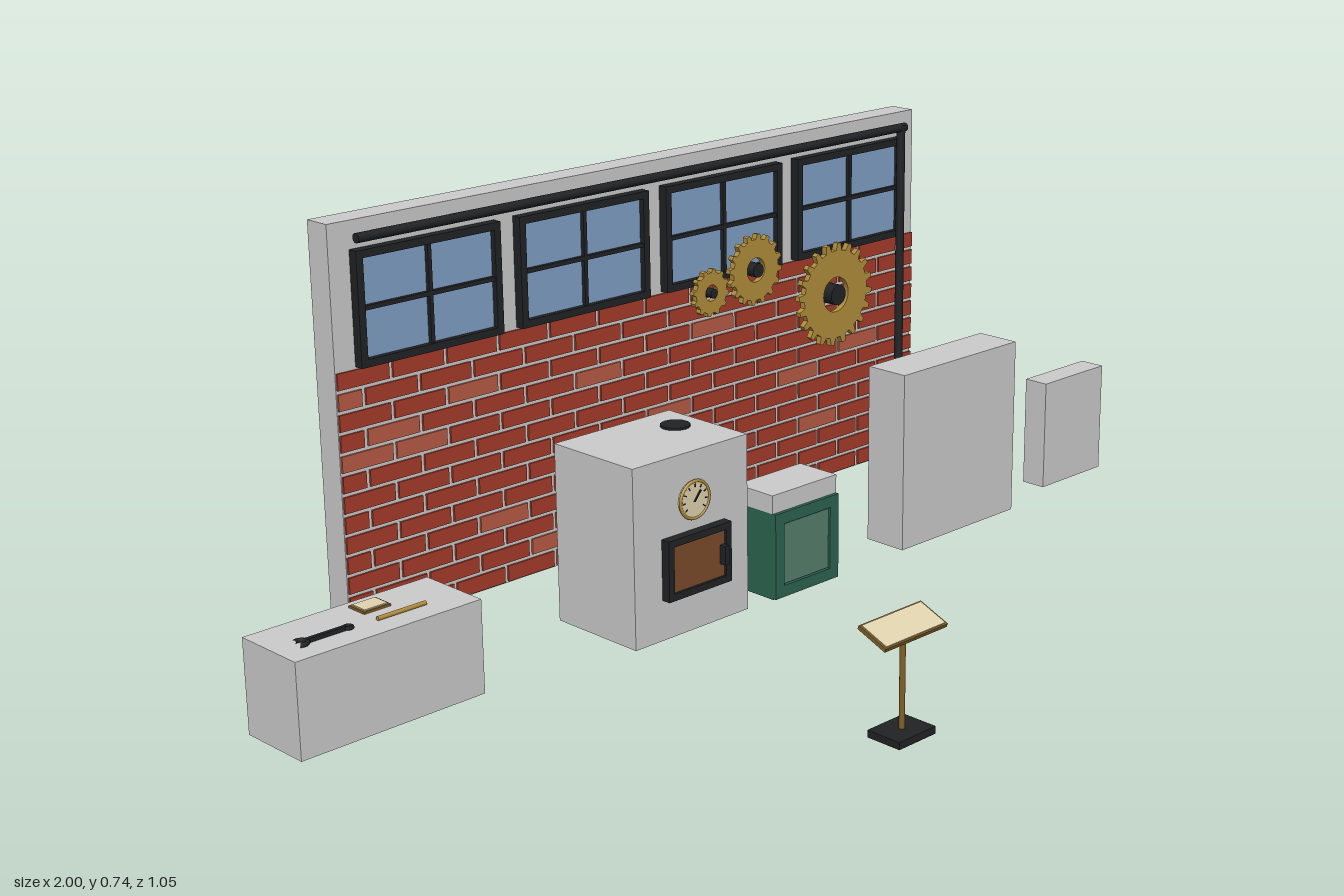
import * as THREE from 'three';
import { mergeGeometries } from 'three/addons/utils/BufferGeometryUtils.js';

const mat = (color) => new THREE.MeshStandardMaterial({ color });
const M = {
  grey: mat(0xcccccc), brick: mat(0xa63c2b), paleBrick: mat(0xb95a43), iron: mat(0x202224),
  glass: mat(0x7f9fc6), brass: mat(0xb08d3c), bronze: mat(0x806028), cream: mat(0xe0d3ae),
  ember: mat(0x7a4a2a), green: mat(0x2c6450), paleGreen: mat(0x55806c),
};

// Box geometry given by its limits on each axis
function boxGeo(x0, x1, y0, y1, z0, z1) {
  return new THREE.BoxGeometry(x1 - x0, y1 - y0, z1 - z0)
    .translate((x0 + x1) / 2, (y0 + y1) / 2, (z0 + z1) / 2);
}

function add(parent, name, geo, material) {
  const mesh = new THREE.Mesh(geo, material);
  mesh.name = name;
  parent.add(mesh);
  return mesh;
}

function part(parent, name) {
  const g = new THREE.Group();
  g.name = name;
  parent.add(g);
  return g;
}

// Rectangular frame made of four bars
function frameGeo(x0, x1, y0, y1, z0, z1, t) {
  return mergeGeometries([
    boxGeo(x0, x1, y0, y0 + t, z0, z1), boxGeo(x0, x1, y1 - t, y1, z0, z1),
    boxGeo(x0, x0 + t, y0 + t, y1 - t, z0, z1), boxGeo(x1 - t, x1, y0 + t, y1 - t, z0, z1),
  ]);
}

// Toothed disc with a round bore
function gearGeo(r, teeth, bore, depth) {
  const shape = new THREE.Shape();
  const root = r * 0.86, step = (Math.PI * 2) / teeth;
  for (let i = 0; i < teeth; i++) {
    [[0, root], [0.45, root], [0.58, r], [0.87, r]].forEach(([f, rad], k) => {
      const a = (i + f) * step;
      const x = Math.cos(a) * rad, y = Math.sin(a) * rad;
      if (i + k === 0) shape.moveTo(x, y); else shape.lineTo(x, y);
    });
  }
  shape.closePath();
  const hole = new THREE.Path();
  hole.absarc(0, 0, bore, 0, Math.PI * 2, true);
  shape.holes.push(hole);
  return new THREE.ExtrudeGeometry(shape, { depth, bevelEnabled: false, curveSegments: 16 });
}

function buildWall(root) {
  const wall = part(root, 'wall');
  add(wall, 'wallPanel', boxGeo(-0.645, 0.815, 0, 0.735, -0.527, -0.473), M.grey);

  // Running-bond bricks, a few of them paler
  const rows = 13, pitch = 0.48 / rows, length = 0.118, gap = 0.008;
  const plain = [], pale = [];
  let seed = 7;
  const random = () => (seed = (seed * 16807) % 2147483647) / 2147483647;
  for (let r = 0; r < rows; r++) {
    for (let x = -0.645 - (r % 2) * length / 2; x < 0.815; x += length) {
      const a = Math.max(x, -0.643), b = Math.min(x + length - gap, 0.815);
      if (b - a < 0.01) continue;
      const brick = boxGeo(a, b, r * pitch + 0.003, (r + 1) * pitch - 0.004, -0.474, -0.469);
      (random() < 0.08 ? pale : plain).push(brick);
    }
  }
  add(wall, 'bricks', mergeGeometries(plain), M.brick);
  add(wall, 'paleBricks', mergeGeometries(pale), M.paleBrick);

  // Four windows, each with a cross of glazing bars
  for (let i = 0; i < 4; i++) {
    const w = part(wall, 'window');
    const x0 = -0.602 + i * 0.353, x1 = x0 + 0.31, cx = (x0 + x1) / 2;
    add(w, 'glass', boxGeo(x0 + 0.01, x1 - 0.01, 0.49, 0.675, -0.474, -0.465), M.glass);
    add(w, 'windowFrame', frameGeo(x0, x1, 0.48, 0.685, -0.474, -0.454, 0.014), M.iron);
    add(w, 'glazingBars', mergeGeometries([
      boxGeo(cx - 0.004, cx + 0.004, 0.494, 0.671, -0.474, -0.457),
      boxGeo(x0 + 0.014, x1 - 0.014, 0.579, 0.587, -0.474, -0.457),
    ]), M.iron);
  }

  // Pipes
  const pipes = part(wall, 'pipes');
  const across = add(pipes, 'horizontalPipe', new THREE.CylinderGeometry(0.009, 0.009, 1.37, 12), M.iron);
  across.rotation.z = Math.PI / 2;
  across.position.set(0.08, 0.709, -0.448);
  const down = add(pipes, 'verticalPipe', new THREE.CylinderGeometry(0.009, 0.009, 0.686, 12), M.iron);
  down.position.set(0.753, 0.371, -0.448);

  // Gears: x, y, radius, teeth
  for (const [x, y, r, teeth] of [[0.55, 0.397, 0.106, 20], [0.323, 0.489, 0.071, 16], [0.203, 0.465, 0.047, 12]]) {
    const gear = part(wall, 'gear');
    gear.position.set(x, y, -0.449);
    add(gear, 'gearWheel', gearGeo(r, teeth, r * 0.34, 0.012), M.brass);
    const hub = add(gear, 'gearHub', new THREE.CylinderGeometry(r * 0.2, r * 0.2, 0.03, 16), M.iron);
    hub.rotation.x = Math.PI / 2;
    hub.position.z = 0.004;
  }
}

function buildFurnace(root) {
  const f = part(root, 'furnace');
  add(f, 'furnaceBody', boxGeo(-0.344, -0.073, 0, 0.33, -0.264, -0.063), M.grey);
  add(f, 'flue', new THREE.CylinderGeometry(0.027, 0.027, 0.006, 20).translate(-0.13, 0.331, -0.186), M.iron);
  add(f, 'doorFrame', frameGeo(-0.28, -0.13, 0.075, 0.187, -0.064, -0.045, 0.013), M.iron);
  add(f, 'doorPanel', boxGeo(-0.27, -0.14, 0.085, 0.178, -0.064, -0.05), M.ember);
  add(f, 'doorHandle', boxGeo(-0.154, -0.144, 0.112, 0.147, -0.052, -0.036), M.iron);
  // Dial with rim, ticks and pointer
  const dial = part(f, 'gauge');
  dial.position.set(-0.206, 0.243, -0.06);
  add(dial, 'gaugeFace', new THREE.CylinderGeometry(0.034, 0.034, 0.008, 28).rotateX(Math.PI / 2), M.cream);
  add(dial, 'gaugeRim', new THREE.TorusGeometry(0.034, 0.003, 8, 28).translate(0, 0, 0.003), M.brass);
  const ticks = [];
  for (let i = 0; i < 9; i++) {
    ticks.push(new THREE.BoxGeometry(0.002, 0.006, 0.001).translate(0, 0.026, 0.0045).rotateZ((i - 4) * 0.55));
  }
  ticks.push(new THREE.BoxGeometry(0.003, 0.024, 0.002).translate(0, 0.008, 0.005).rotateZ(-0.7));
  add(dial, 'gaugePointer', mergeGeometries(ticks), M.iron);
}

function buildBin(root) {
  const b = part(root, 'bin');
  add(b, 'binBody', boxGeo(-0.012, 0.152, 0, 0.165, -0.15, -0.06), M.green);
  add(b, 'binLid', boxGeo(-0.013, 0.153, 0.165, 0.2, -0.152, -0.06), M.grey);
  add(b, 'binFrame', frameGeo(-0.012, 0.152, 0.002, 0.165, -0.061, -0.053, 0.022), M.green);
  add(b, 'binPanel', boxGeo(0.012, 0.128, 0.026, 0.141, -0.061, -0.056), M.paleGreen);
}

function buildBench(root) {
  const b = part(root, 'workbench');
  add(b, 'benchBody', boxGeo(-1, -0.637, 0, 0.167, -0.253, -0.11), M.grey);
  // Spanner with an open jaw and a ring end
  const jaw = new THREE.TorusGeometry(0.011, 0.004, 6, 16, Math.PI * 1.4)
    .rotateZ(-Math.PI * 0.7).rotateX(-Math.PI / 2).translate(-0.953, 0.17, -0.162);
  const ring = new THREE.TorusGeometry(0.007, 0.003, 6, 16).rotateX(-Math.PI / 2).translate(-0.863, 0.17, -0.162);
  add(b, 'spanner', mergeGeometries([jaw, ring, boxGeo(-0.943, -0.868, 0.166, 0.174, -0.166, -0.158)]), M.iron);
  add(b, 'notebookCover', boxGeo(-0.81, -0.757, 0.166, 0.171, -0.234, -0.192), M.bronze);
  add(b, 'notebookPage', boxGeo(-0.806, -0.761, 0.17, 0.173, -0.23, -0.196), M.cream);
  add(b, 'rod', new THREE.CylinderGeometry(0.004, 0.004, 0.096, 10).rotateZ(Math.PI / 2)
    .translate(-0.762, 0.17, -0.157), M.brass);
}

function buildLectern(root) {
  const l = part(root, 'lectern');
  l.position.set(-0.28, 0, 0.493);
  add(l, 'base', boxGeo(-0.043, 0.043, 0, 0.013, -0.034, 0.034), M.iron);
  add(l, 'post', new THREE.CylinderGeometry(0.005, 0.005, 0.172, 12).translate(0, 0.098, 0), M.bronze);
  const top = part(l, 'readingBoard');
  top.position.set(0, 0.187, 0);
  top.rotation.x = 0.38;
  add(top, 'board', new THREE.BoxGeometry(0.145, 0.007, 0.062), M.bronze);
  add(top, 'page', new THREE.BoxGeometry(0.138, 0.002, 0.056).translate(0, 0.004, 0), M.cream);
}

export function createModel() {
  const root = new THREE.Group();
  root.name = 'workshop';
  buildWall(root);
  buildFurnace(root);
  buildBin(root);
  buildBench(root);
  buildLectern(root);
  // Plain storage cabinets
  add(root, 'largeCabinet', boxGeo(0.341, 0.667, 0, 0.348, -0.153, -0.063), M.grey);
  add(root, 'smallCabinet', boxGeo(0.815, 1, 0, 0.221, -0.153, -0.101), M.grey);
  return root;
}
